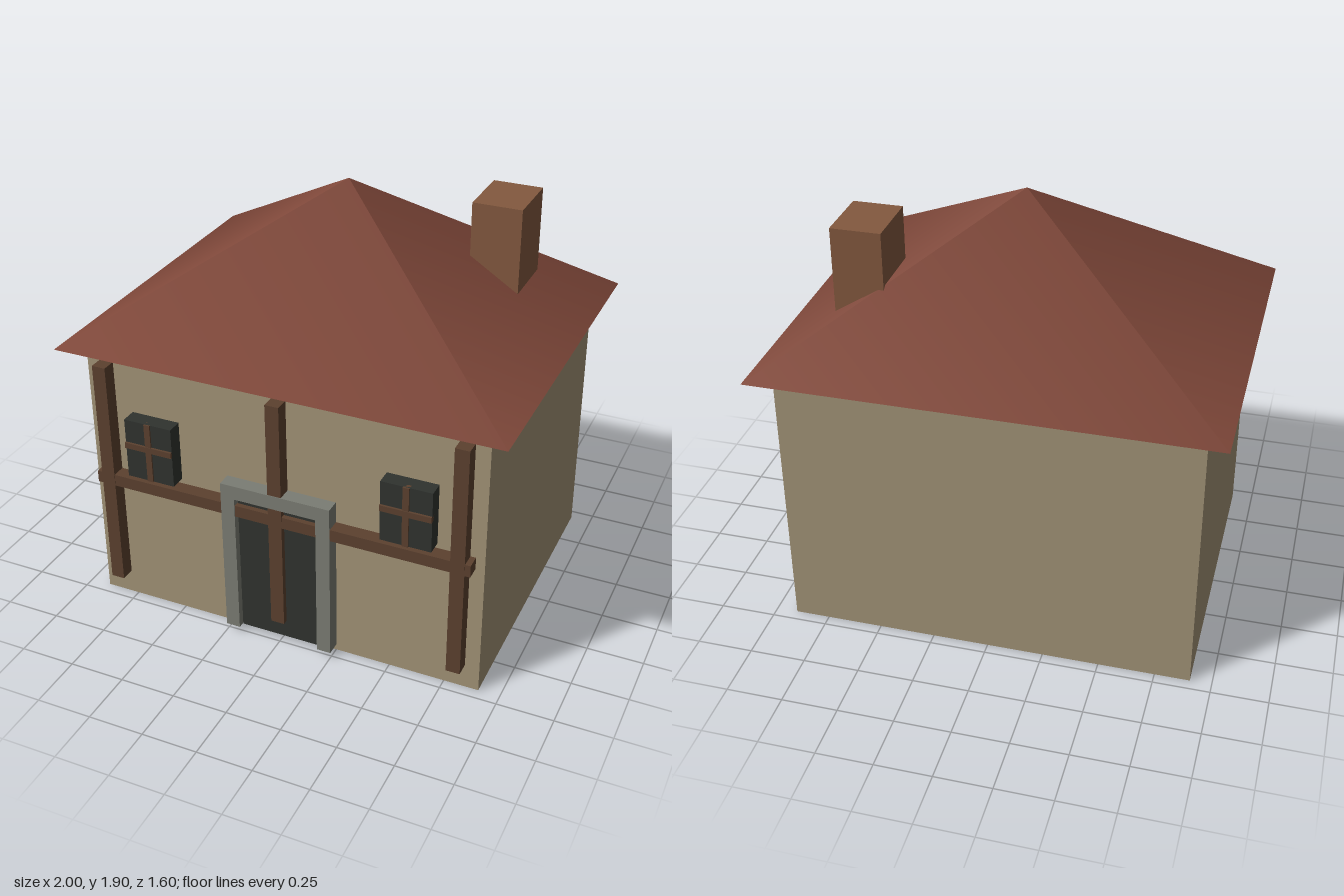
import * as THREE from 'three';

const mat = (color) => new THREE.MeshStandardMaterial({ color });

export function createModel() {
  const house = new THREE.Group();
  house.name = 'house';
  const plaster = mat(0xa39477), tile = mat(0x7d4638), brick = mat(0x83593f);
  const timber = mat(0x5c412f), stone = mat(0x7b7d74), dark = mat(0x30332f);

  // Box given by its lower and upper corner
  const box = (name, material, [x0, y0, z0], [x1, y1, z1], parent = house) => {
    const mesh = new THREE.Mesh(new THREE.BoxGeometry(x1 - x0, y1 - y0, z1 - z0), material);
    mesh.position.set((x0 + x1) / 2, (y0 + y1) / 2, (z0 + z1) / 2);
    mesh.name = name;
    parent.add(mesh);
    return mesh;
  };

  box('walls', plaster, [-0.905, 0, -0.7], [0.905, 1.26, 0.7]);

  // Four-sided hipped roof with soft shading
  const roofShape = new THREE.ConeGeometry(Math.SQRT2, 0.64, 4);
  roofShape.rotateY(Math.PI / 4).scale(1, 1, 0.8);
  const roof = new THREE.Mesh(roofShape, tile);
  roof.position.y = 1.58;
  roof.name = 'roof';
  house.add(roof);

  box('chimney', brick, [0.5, 1.43, -0.42], [0.72, 1.82, -0.14]);

  // Timber framing on the front
  for (const x of [-0.81, 0, 0.81]) {
    box('timberPost', timber, [x - 0.031, 0.115, 0.7], [x + 0.031, 1.2, 0.765]);
  }
  box('timberBeam', timber, [-0.865, 0.617, 0.7], [0.865, 0.672, 0.763]);

  // Door with its stone surround
  box('door', dark, [-0.185, 0.03, 0.7], [0.185, 0.705, 0.74]);
  for (const s of [-1, 1]) {
    const x = s * 0.22;
    box('doorJamb', stone, [x - 0.032, 0.03, 0.7], [x + 0.032, 0.705, 0.767]);
  }
  box('doorLintel', stone, [-0.252, 0.705, 0.7], [0.252, 0.77, 0.767]);

  // Upper windows with crossed glazing bars
  for (const s of [-1, 1]) {
    const win = new THREE.Group();
    win.name = s > 0 ? 'leftWindow' : 'rightWindow';
    win.position.x = s * 0.588;
    house.add(win);
    box('pane', dark, [-0.112, 0.695, 0.7], [0.112, 0.975, 0.77], win);
    box('verticalBar', timber, [-0.014, 0.695, 0.75], [0.014, 0.975, 0.777], win);
    box('horizontalBar', timber, [-0.112, 0.84, 0.75], [0.112, 0.867, 0.78], win);
  }
  return house;
}
